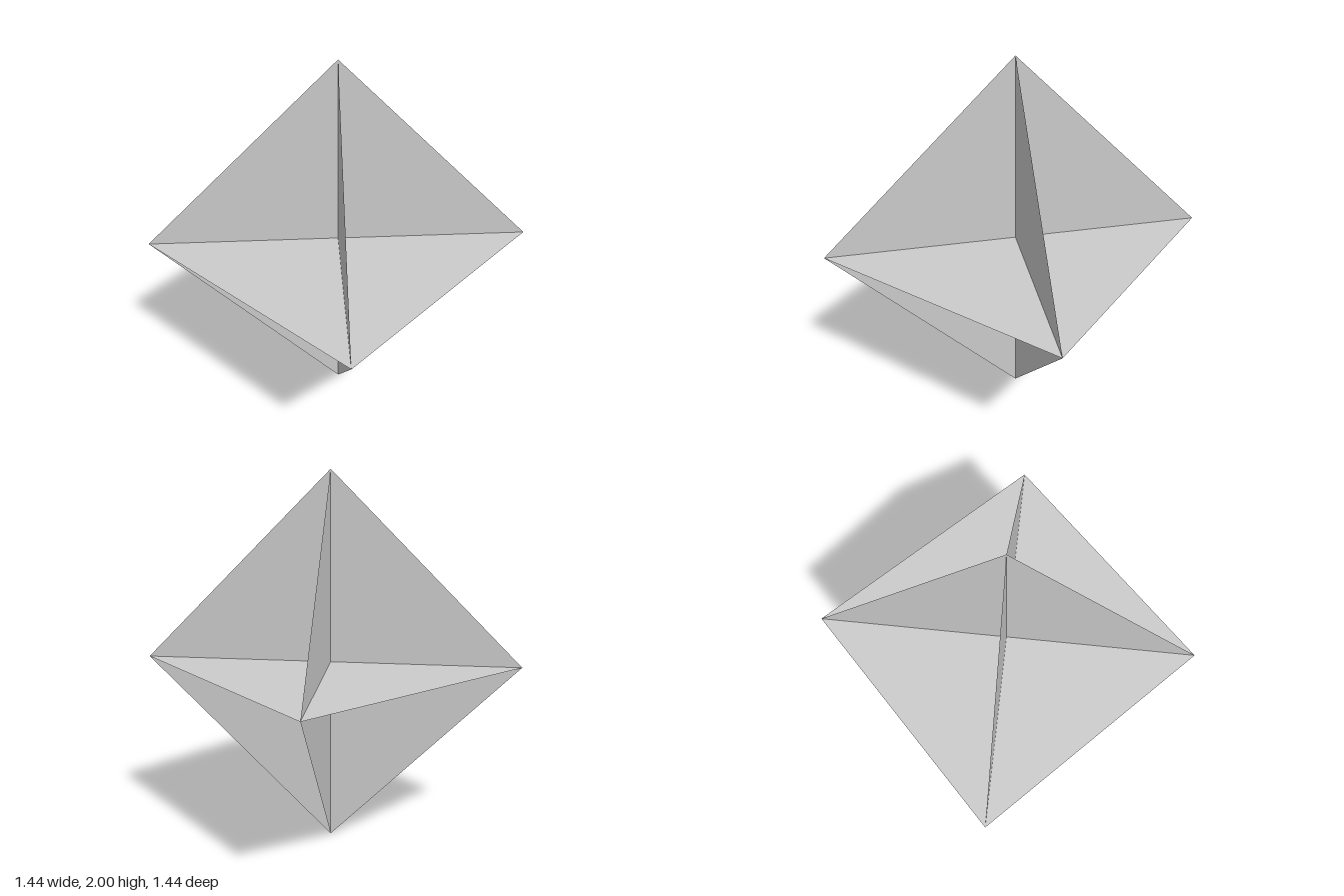
import * as THREE from 'three';

export function createModel() {
  const model = new THREE.Group();
  model.name = 'crossedSheets';
  const material = new THREE.MeshStandardMaterial({ color: 0xcccccc, side: THREE.DoubleSide, flatShading: true });

  // A flat square sheet standing on one corner, half diagonal 1
  const addSheet = (name, rx, ry) => {
    const sheet = new THREE.Mesh(new THREE.CircleGeometry(1, 4), material);
    sheet.name = name;
    sheet.rotation.set(rx, ry, 0, 'YXZ');
    sheet.position.y = 1;
    model.add(sheet);
  };

  // Three mutually perpendicular sheets, turned together about y
  const turn = THREE.MathUtils.degToRad(-44);
  addSheet('verticalSheetA', 0, turn);
  addSheet('verticalSheetB', 0, turn + Math.PI / 2);
  addSheet('horizontalSheet', -Math.PI / 2, turn);

  return model;
}
